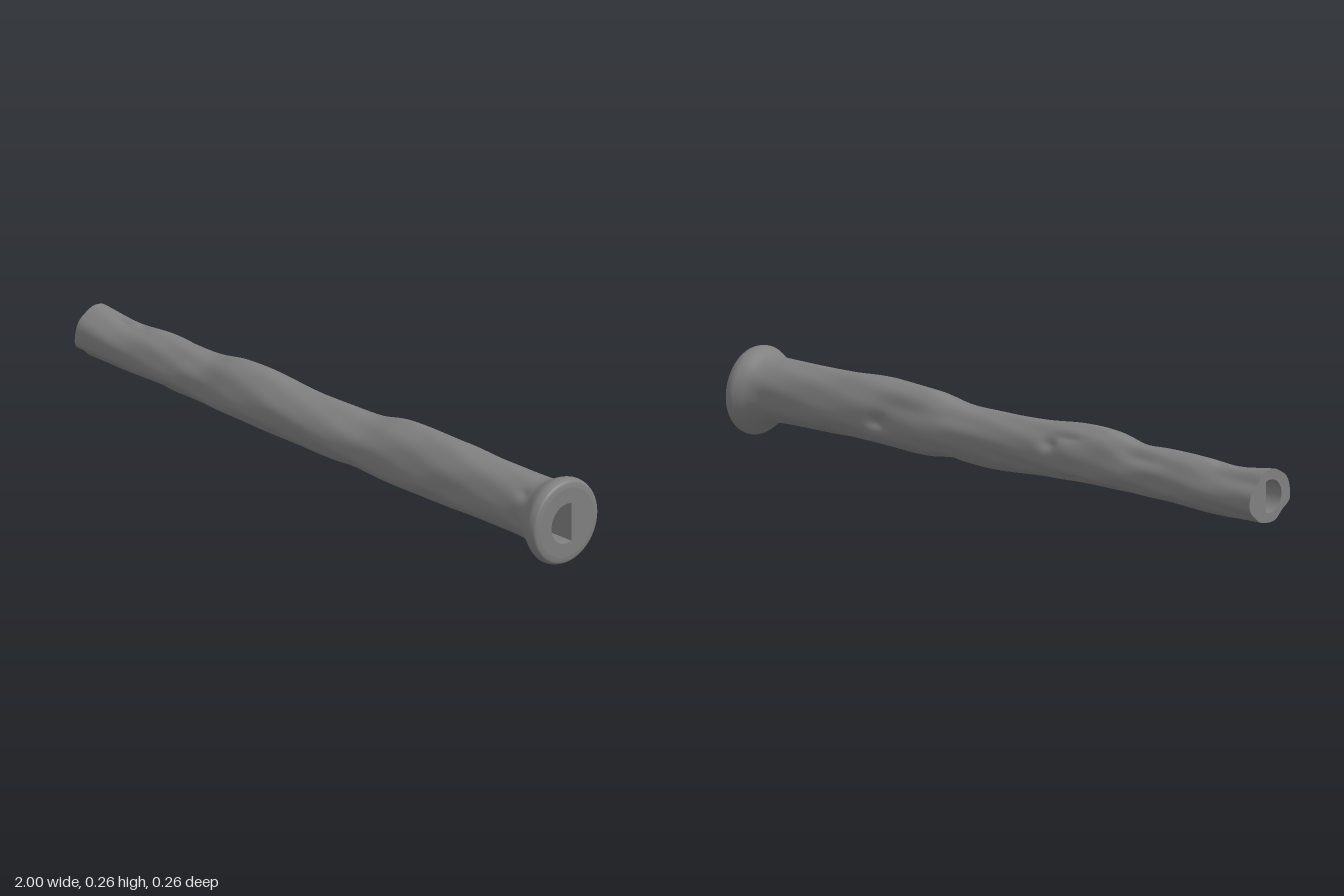
import * as THREE from 'three';

const SEG = 96;
const CY = 0.132; // height of the shaft's long axis

// Outline stations along the shaft: x, top y, bottom y, back z, front z
const STATIONS = [
  [-1.0, 0.23, 0.07, -0.09, 0.09],
  [-0.85, 0.214, 0.066, -0.084, 0.087],
  [-0.72, 0.222, 0.069, -0.081, 0.085],
  [-0.6, 0.219, 0.073, -0.08, 0.085],
  [-0.49, 0.218, 0.073, -0.074, 0.09],
  [-0.38, 0.238, 0.07, -0.072, 0.1],
  [-0.27, 0.238, 0.068, -0.082, 0.1],
  [-0.12, 0.226, 0.063, -0.08, 0.1],
  [0.05, 0.222, 0.054, -0.081, 0.104],
  [0.18, 0.223, 0.06, -0.088, 0.105],
  [0.3, 0.244, 0.053, -0.091, 0.106],
  [0.44, 0.249, 0.053, -0.086, 0.105],
  [0.55, 0.247, 0.058, -0.092, 0.103],
  [0.7, 0.241, 0.055, -0.092, 0.101],
  [0.88, 0.24, 0.05, -0.098, 0.1],
  [0.92, 0.244, 0.036, -0.108, 0.107],
  [0.955, 0.26, 0.008, -0.125, 0.125],
  [0.972, 0.264, 0, -0.132, 0.132],
  [0.988, 0.261, 0.003, -0.129, 0.129],
  [0.997, 0.254, 0.01, -0.122, 0.122],
  [1.0, 0.239, 0.025, -0.107, 0.107],
];

// Dents in the surface (negative depth for a bump): x, angle, length, angular width, depth
const DENTS = [
  [-1.0, -0.75, 0.3, 0.4, 0.017],
  [-1.0, 2.35, 0.35, 0.4, 0.01],
  [-0.62, -1.0, 0.05, 0.3, -0.005],
  [-0.88, 1.5, 0.03, 0.15, 0.006],
  [-0.81, 1.65, 0.025, 0.12, 0.007],
  [-0.55, 2.3, 0.1, 0.35, 0.008],
  [-0.2, 2.6, 0.03, 0.22, 0.014],
  [-0.26, 2.3, 0.05, 0.15, 0.007],
  [-0.3, 3.9, 0.04, 0.25, 0.012],
  [0.22, 4.2, 0.04, 0.25, 0.012],
  [0.45, 3.1, 0.03, 0.22, 0.012],
  [0.3, 2.5, 0.15, 0.25, 0.006],
  [0.88, 0, 0.03, 0.2, 0.007],
  [0.89, 0.8, 0.025, 0.15, 0.006],
  [0.1, -0.9, 0.2, 0.25, 0.006],
];

// Smooth interpolation of one station column
function outline(x, c) {
  let i = 0;
  while (i < STATIONS.length - 2 && x > STATIONS[i + 1][0]) i++;
  const last = STATIONS.length - 1;
  const slope = (k) => {
    const a = STATIONS[Math.max(k - 1, 0)], b = STATIONS[Math.min(k + 1, last)];
    return (b[c] - a[c]) / (b[0] - a[0]);
  };
  const a = STATIONS[i], b = STATIONS[i + 1], h = b[0] - a[0], t = (x - a[0]) / h;
  const t2 = t * t, t3 = t2 * t;
  return (2 * t3 - 3 * t2 + 1) * a[c] + (t3 - 2 * t2 + t) * h * slope(i)
    + (3 * t2 - 2 * t3) * b[c] + (t3 - t2) * h * slope(i + 1);
}

// Cross-section of the shaft at x, as (z, y) points
function section(x) {
  const [top, bottom, back, front] = [1, 2, 3, 4].map((c) => outline(x, c));
  const fade = 1 - THREE.MathUtils.smoothstep(x, 0.88, 0.95);
  return Array.from({ length: SEG }, (_, k) => {
    const a = (k / SEG) * Math.PI * 2, c = Math.cos(a), s = Math.sin(a);
    let d = 0.0014 * Math.sin(3 * a + 7 * x) + 0.0013 * Math.sin(5 * a - 11 * x + 2 * Math.sin(6 * x))
      + 0.0008 * Math.sin(9 * a + 17 * x);
    for (const [dx, da, lx, la, depth] of DENTS) {
      const u = (x - dx) / lx, v = Math.atan2(Math.sin(a - da), Math.cos(a - da)) / la;
      d -= depth * Math.exp(-u * u - v * v);
    }
    d *= fade;
    const rz = c > 0 ? front : -back, ry = s > 0 ? top - CY : CY - bottom;
    return new THREE.Vector2(c * (rz + d), CY + s * (ry + d));
  });
}

// Skin through closed rings given as [x, points], running from -x to +x to face outwards
function loft(rings) {
  const n = rings[0][1].length, pos = [], index = [];
  rings.forEach(([x, pts], i) => {
    pts.forEach((p, k) => {
      pos.push(x, p.y, p.x);
      if (i === rings.length - 1) return;
      const a = i * n + k, b = i * n + ((k + 1) % n);
      index.push(a, a + n, b, b, a + n, b + n);
    });
  });
  const g = new THREE.BufferGeometry();
  g.setAttribute('position', new THREE.Float32BufferAttribute(pos, 3));
  g.setIndex(index);
  g.computeVertexNormals();
  return g;
}

// Flat wall across the shaft at x, facing dir along x, with an optional hole
function wall(points, x, dir, hole) {
  const flip = (pts) => pts.map((p) => new THREE.Vector2(-dir * p.x, p.y));
  const shape = new THREE.Shape(flip(points));
  if (hole) shape.holes.push(new THREE.Path(flip(hole)));
  return new THREE.ShapeGeometry(shape).rotateY(dir * Math.PI / 2).translate(x, 0, 0);
}

// D-shaped opening: a circle cut off by a flat side at the back
function dShape(r, flat, cy) {
  const end = Math.acos(flat / r);
  return Array.from({ length: 37 }, (_, i) => {
    const a = (i / 18 - 1) * end;
    return new THREE.Vector2(r * Math.cos(a), cy + r * Math.sin(a));
  });
}

export function createModel() {
  const group = new THREE.Group();
  const material = new THREE.MeshStandardMaterial({ color: 0x808080 });
  const add = (name, geometry, parent = group) => {
    const mesh = new THREE.Mesh(geometry, material);
    mesh.name = name;
    parent.add(mesh);
  };

  // Gnarled shaft with its flared end; rings crowd together towards the rim
  const xs = [];
  for (let i = 0; i < 220; i++) xs.push(-1 + (i / 220) * 1.88);
  for (let i = 0; i <= 36; i++) xs.push(0.88 + 0.12 * Math.sin((i / 36) * Math.PI / 2));
  add('shaft', loft(xs.map((x) => [x, section(x)])));

  // Each end: a flat face and a blind socket
  const ends = [
    { name: 'flared', x: 1, dir: 1, depth: 0.4, hole: dShape(0.062, -0.018, 0.13) },
    { name: 'narrow', x: -1, dir: -1, depth: 0.3, hole: dShape(0.05, -0.018, 0.148) },
  ];
  for (const { name, x, dir, depth, hole } of ends) {
    const end = new THREE.Group();
    end.name = name + 'End';
    group.add(end);
    const floorX = x - dir * depth;
    const rings = [[Math.max(x, floorX), hole], [Math.min(x, floorX), hole]];
    const socket = loft(rings).toNonIndexed(); // inward-facing walls with crisp corners
    socket.computeVertexNormals();
    add(name + 'EndFace', wall(section(x), x, dir, hole), end);
    add(name + 'SocketWall', socket, end);
    add(name + 'SocketFloor', wall(hole, floorX, dir), end);
  }
  return group;
}
